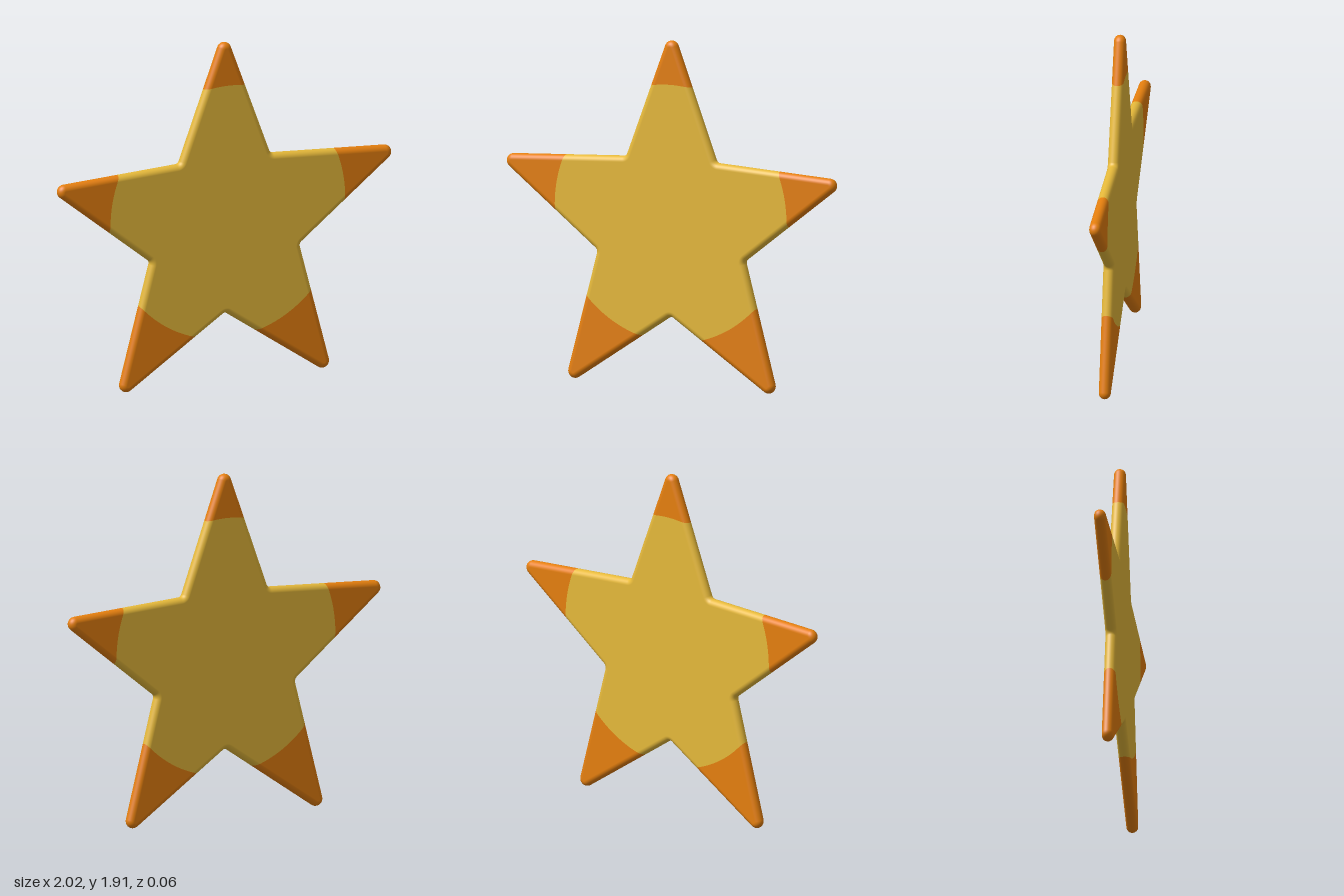
import * as THREE from 'three';
import { mergeGeometries } from 'three/addons/utils/BufferGeometryUtils.js';

const HALF = 0.032;                            // half thickness, also the rim radius
const TIP_R = 0.04, NOTCH_R = 0.025;           // corner rounding
const CENTRE = new THREE.Vector2(0.008, 0.955), PAINT_R = 0.712; // colour border circle
const ARC = 10, RIM = 14;

// Sharp corners, counter-clockwise from the top: tip, notch, tip, ...
const half = [[-0.277, 1.252], [-1.08, 1.209], [-0.452, 0.72], [-0.66, -0.051]];
const corners = [[0, 1.98], ...half, [0, 0.385], ...half.map(([x, y]) => [-x, y]).reverse()]
  .map(([x, y]) => new THREE.Vector2(x, y));
const N = corners.length;
const corner = i => corners[(i + N) % N];

// Edge from corner i to i + 1: direction and outward normal
function edge(i) {
  const t = corner(i + 1).clone().sub(corner(i)).normalize();
  return { t, n: new THREE.Vector2(t.y, -t.x) };
}

// Point where edge i, moved inwards by d, meets the colour border
function crossing(i, d) {
  const { t, n } = edge(i);
  const start = corner(i).clone().addScaledVector(n, -d);
  const rel = start.clone().sub(CENTRE);
  const b = rel.dot(t), root = Math.sqrt(b * b - rel.lengthSq() + PAINT_R ** 2);
  return { p: start.addScaledVector(t, -b + (i % 2 ? root : -root)), n };
}

// Outline round corner i, from one border crossing to the next, inset by d
function chain(i, d) {
  const before = (i + N - 1) % N;
  const e1 = edge(before), e2 = edge(i);
  const convex = i % 2 === 0;
  const radius = convex ? TIP_R : NOTCH_R;
  const bisector = e2.t.clone().sub(e1.t).normalize();
  const sinHalf = Math.abs(bisector.cross(e2.t));
  const c = corner(i).clone().addScaledVector(bisector, radius / sinHalf);
  const a1 = e1.n.angle(), turn = Math.atan2(e1.n.cross(e2.n), e1.n.dot(e2.n));
  const points = [crossing(before, d)];
  for (let k = 0; k <= ARC; k++) {
    const a = a1 + turn * k / ARC;
    const n = new THREE.Vector2(Math.cos(a), Math.sin(a));
    points.push({ p: c.clone().addScaledVector(n, (convex ? radius : -radius) - d), n });
  }
  points.push(crossing(i, d));
  return points;
}

// Rounded rim along one chain
function rimGeometry(i) {
  const pos = [], nor = [], index = [];
  const cols = ARC + 3;
  for (let r = 0; r <= RIM; r++) {
    const a = -Math.PI / 2 + Math.PI * r / RIM;
    const cos = Math.cos(a), sin = Math.sin(a);
    for (const { p, n } of chain(i, HALF * (1 - cos))) {
      pos.push(p.x, p.y, HALF * sin);
      nor.push(n.x * cos, n.y * cos, sin);
    }
  }
  for (let r = 0; r < RIM; r++) for (let k = 0; k < cols - 1; k++) {
    const a = r * cols + k, b = a + cols;
    index.push(a, a + 1, b, a + 1, b + 1, b);
  }
  const g = new THREE.BufferGeometry();
  g.setAttribute('position', new THREE.Float32BufferAttribute(pos, 3));
  g.setAttribute('normal', new THREE.Float32BufferAttribute(nor, 3));
  g.setIndex(index);
  return g;
}

// Points strictly between a and b along the colour border
function borderArc(a, b) {
  const u = a.clone().sub(CENTRE), v = b.clone().sub(CENTRE);
  const a1 = u.angle(), turn = Math.atan2(u.cross(v), u.dot(v));
  return Array.from({ length: 15 }, (_, k) => {
    const t = a1 + turn * (k + 1) / 16;
    return new THREE.Vector2(Math.cos(t), Math.sin(t)).multiplyScalar(PAINT_R).add(CENTRE);
  });
}

// Flat front and back faces of an outline
function faceGeometries(points) {
  const front = new THREE.ShapeGeometry(new THREE.Shape(points));
  front.deleteAttribute('uv');
  const back = front.clone();
  front.translate(0, 0, HALF);
  back.translate(0, 0, -HALF);
  back.setIndex(Array.from(back.index.array).reverse());
  const n = back.attributes.normal;
  for (let i = 0; i < n.count; i++) n.setXYZ(i, 0, 0, -1);
  return [front, back];
}

export function createModel() {
  const yellow = new THREE.MeshStandardMaterial({ color: 0xe6b93a });
  yellow.name = 'golden yellow';
  const orange = new THREE.MeshStandardMaterial({ color: 0xe57f0e });
  orange.name = 'orange';

  const star = new THREE.Group();
  star.name = 'star';
  const add = (name, parts, material) => {
    const mesh = new THREE.Mesh(mergeGeometries(parts), material);
    mesh.name = name;
    star.add(mesh);
  };
  const inner = i => chain(i % N, HALF).map(q => q.p);

  // Orange arm tips
  const names = ['topTip', 'rightArmTip', 'rightLegTip', 'leftLegTip', 'leftArmTip'];
  names.forEach((name, k) => {
    const line = inner(2 * k);
    const outline = [...line, ...borderArc(line[line.length - 1], line[0])];
    add(name, [rimGeometry(2 * k), ...faceGeometries(outline)], orange);
  });

  // Yellow body, joining the five notches
  const outline = [], rims = [];
  for (let i = 1; i < N; i += 2) {
    const line = inner(i);
    outline.push(...line, ...borderArc(line[line.length - 1], inner(i + 2)[0]));
    rims.push(rimGeometry(i));
  }
  add('body', [...rims, ...faceGeometries(outline)], yellow);
  return star;
}
